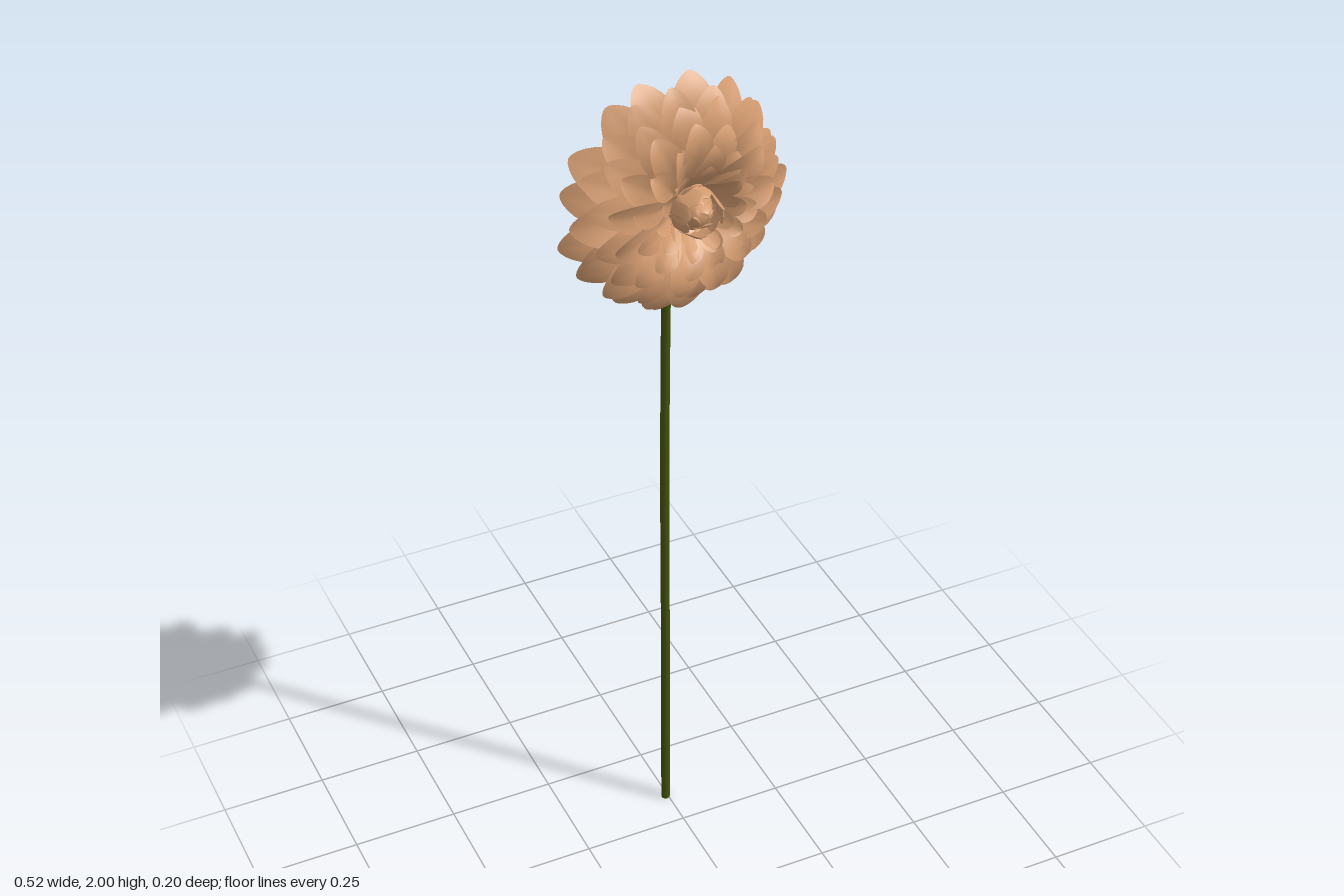
import * as THREE from 'three';
import { mergeGeometries } from 'three/addons/utils/BufferGeometryUtils.js';

const petalMat = new THREE.MeshStandardMaterial({ color: 0xd39b70, side: THREE.DoubleSide });
petalMat.name = 'petal tan';
const greenMat = new THREE.MeshStandardMaterial({ color: 0x43500d });
greenMat.name = 'stem green';

// Small seeded generator, returns -1..1
let seed = 7;
function jitter() {
  seed = (seed * 16807) % 2147483647;
  return (seed / 2147483647) * 2 - 1;
}

// One spoon-shaped petal running outward along +x, its face towards +z, its tip curling back
function petal({ r0, z0, r1, z1, bulge, width, cup }) {
  const rows = 12, cols = 8;
  const geo = new THREE.PlaneGeometry(1, 1, cols, rows);
  const pos = geo.attributes.position;
  for (let i = 0; i < pos.count; i++) {
    const v = pos.getX(i) * 2;                              // -1..1 across
    const u = Math.sin((pos.getY(i) + 0.5) * Math.PI / 2);  // 0..1 along, dense at the tip
    const grow = THREE.MathUtils.smoothstep(u, 0, 0.62);
    const round = u > 0.62 ? Math.pow(Math.max(0, 1 - ((u - 0.62) / 0.38) ** 2), 0.6) : 1;
    const half = width * 0.5 * (0.42 + 0.58 * grow) * round;
    const skew = Math.pow(u, 1.5);
    const arch = 4 * skew * (1 - skew) * bulge;
    const groove = -0.06 * width * Math.exp(-((v / 0.25) ** 2)) * (1 - u);
    pos.setXYZ(i, r0 + (r1 - r0) * u, -v * half,
      z0 + (z1 - z0) * u + arch + groove + cup * v * v * half);
  }
  geo.computeVertexNormals();
  return geo;
}

// A ring of slightly varied petals
function petalRing(name, count, turn, p) {
  const parts = [];
  for (let i = 0; i < count; i++) {
    const g = petal({
      ...p,
      r1: p.r1 * (1 + 0.025 * jitter()),
      z1: p.z1 + 0.012 * jitter(),
      width: p.width * (1 + 0.08 * jitter()),
      cup: p.cup + 0.12 * jitter(),
    });
    g.rotateX(0.15 * jitter());
    g.rotateZ(((i + turn + 0.12 * jitter()) / count) * Math.PI * 2);
    parts.push(g);
  }
  const mesh = new THREE.Mesh(mergeGeometries(parts), petalMat);
  mesh.name = name;
  return mesh;
}

export function createModel() {
  seed = 7;
  const model = new THREE.Group();
  model.name = 'flower';

  // Stem: straight, then bending forward into the head
  const path = new THREE.CatmullRomCurve3([
    [-0.006, 0, -0.09], [-0.004, 0.5, -0.091], [-0.004, 1.0, -0.09],
    [0, 1.4, -0.09], [0, 1.47, -0.087], [0, 1.6, -0.075], [0, 1.74, -0.06],
  ].map((p) => new THREE.Vector3(...p)));
  const stem = new THREE.Mesh(new THREE.TubeGeometry(path, 48, 0.0105, 10), greenMat);
  stem.name = 'stem';
  model.add(stem);
  const cap = new THREE.Mesh(new THREE.CircleGeometry(0.0105, 10), greenMat);
  cap.name = 'stemEnd';
  cap.rotation.x = Math.PI / 2;
  cap.position.copy(path.getPoint(0));
  model.add(cap);

  // Head, tipped slightly up and to its left
  const head = new THREE.Group();
  head.name = 'head';
  head.position.set(0.002, 1.742, 0);
  head.rotation.set(-0.09, 0.07, 0);
  model.add(head);

  const calyx = new THREE.Mesh(new THREE.SphereGeometry(0.07, 24, 16), greenMat);
  calyx.name = 'calyx';
  calyx.scale.z = 0.72;
  calyx.position.set(0, 0.014, -0.035);
  head.add(calyx);

  // Petal rings from back to front, arching so the tips fall backward
  const rings = [
    ['backPetals', 16, 0.5, { r0: 0.03, z0: -0.045, r1: 0.264, z1: -0.062, bulge: 0.032, width: 0.108, cup: 0 }],
    ['outerPetals', 16, 0, { r0: 0.03, z0: -0.03, r1: 0.252, z1: -0.03, bulge: 0.03, width: 0.092, cup: 0.02 }],
    ['thirdPetals', 14, 0.5, { r0: 0.03, z0: -0.015, r1: 0.228, z1: 0.006, bulge: 0.028, width: 0.082, cup: 0.05 }],
    ['fourthPetals', 13, 0.2, { r0: 0.03, z0: 0, r1: 0.192, z1: 0.04, bulge: 0.024, width: 0.072, cup: 0.08 }],
    ['fifthPetals', 12, 0.6, { r0: 0.03, z0: 0.005, r1: 0.148, z1: 0.056, bulge: 0.016, width: 0.06, cup: 0.15 }],
    ['innerPetals', 10, 0.1, { r0: 0.03, z0: 0.01, r1: 0.106, z1: 0.07, bulge: 0.008, width: 0.046, cup: 0.25 }],
    ['cuppedPetals', 8, 0.4, { r0: 0.038, z0: 0.012, r1: 0.08, z1: 0.086, bulge: 0, width: 0.038, cup: 0.3 }],
    // Closed bud petals leaning in over the centre
    ['budOuterPetals', 9, 0, { r0: 0.058, z0: 0.012, r1: 0.038, z1: 0.088, bulge: 0.014, width: 0.042, cup: -0.4 }],
    ['budInnerPetals', 6, 0.5, { r0: 0.044, z0: 0.025, r1: 0.01, z1: 0.086, bulge: 0.014, width: 0.036, cup: -0.4 }],
  ];
  for (const [name, count, turn, p] of rings) head.add(petalRing(name, count, turn, p));

  // Bud core closing the centre
  const core = new THREE.Mesh(new THREE.SphereGeometry(0.046, 20, 12), petalMat);
  core.name = 'budCore';
  core.position.z = 0.026;
  head.add(core);

  return model;
}
